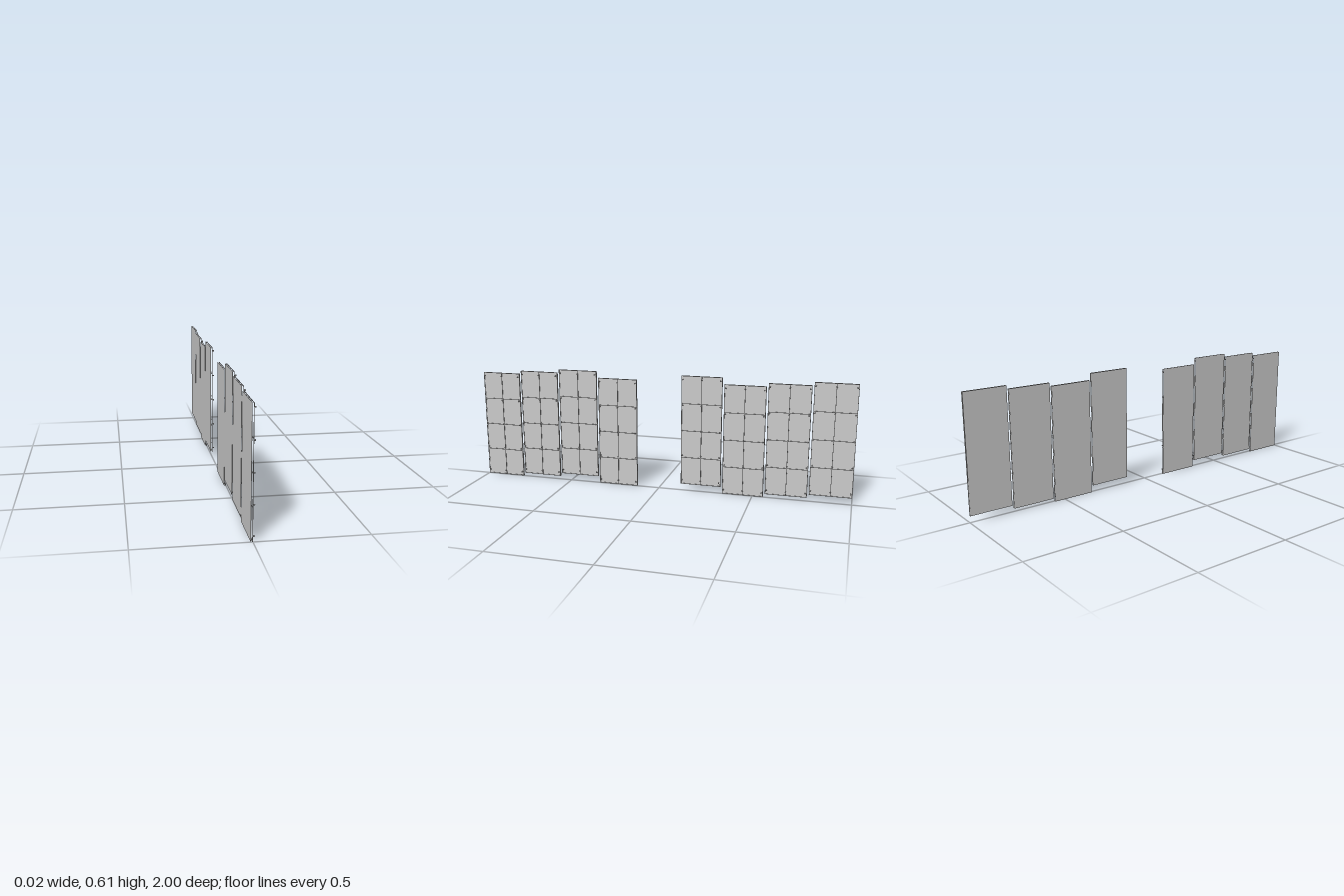
import * as THREE from 'three';

const W = 0.2125, H = 0.579;          // panel width (z) and height (y)
const SHEET_X = -0.0085, GRID_X = -0.0012;
const BAR = 0.0026;

const material = new THREE.MeshStandardMaterial({ color: 0xcccccc, flatShading: true });

function addBox(parent, name, size, pos) {
  const mesh = new THREE.Mesh(new THREE.BoxGeometry(...size), material);
  mesh.name = name;
  mesh.position.set(...pos);
  parent.add(mesh);
}

// Pin axis runs along x, out from the grid
function addPinPart(parent, name, radius, x0, x1, y, z) {
  const geometry = new THREE.CylinderGeometry(radius, radius, x1 - x0, 8);
  geometry.rotateZ(-Math.PI / 2);
  const mesh = new THREE.Mesh(geometry, material);
  mesh.name = name;
  mesh.position.set((x0 + x1) / 2, y, z);
  parent.add(mesh);
}

function createPanel() {
  const panel = new THREE.Group();
  panel.name = 'panel';

  // Plain backing sheet
  addBox(panel, 'backingSheet', [0.001, H, W], [SHEET_X, H / 2, 0]);

  // Open grid in front of the sheet: two columns, four rows
  for (let i = 0; i <= 4; i++) {
    const y = BAR / 2 + (i / 4) * (H - BAR);
    addBox(panel, 'horizontalBar', [BAR, BAR, W], [GRID_X, y, 0]);
  }
  for (let i = -1; i <= 1; i++) {
    addBox(panel, 'verticalBar', [BAR, H, BAR], [GRID_X, H / 2, i * (W - BAR) / 2]);
  }

  // Fixing pins in five rows at the middle and both edges
  for (let row = 0; row < 5; row++) {
    const y = 0.0225 + row * 0.1345;
    for (let col = -1; col <= 1; col++) {
      const z = col * (W / 2 - 0.008);
      addPinPart(panel, 'pinStem', 0.0015, GRID_X, 0.003, y, z);
      addPinPart(panel, 'pinHead', 0.0035, 0.0025, 0.0085, y, z);
    }
  }
  return panel;
}

export function createModel() {
  const model = new THREE.Group();
  model.name = 'panelRow';

  // Two banks of four panels with staggered heights, from +z to -z
  const banks = [
    { side: 1, lifts: [0, 0.0172, 0.0344, 0] },
    { side: -1, lifts: [0.0344, 0.0172, 0, 0.0344] },
  ];
  for (const { side, lifts } of banks) {
    const bank = new THREE.Group();
    bank.name = side > 0 ? 'frontBank' : 'rearBank';
    lifts.forEach((lift, i) => {
      const panel = createPanel();
      panel.position.set(0, lift, side * (1 - W / 2 - i * 0.2225));
      bank.add(panel);
    });
    model.add(bank);
  }
  return model;
}
